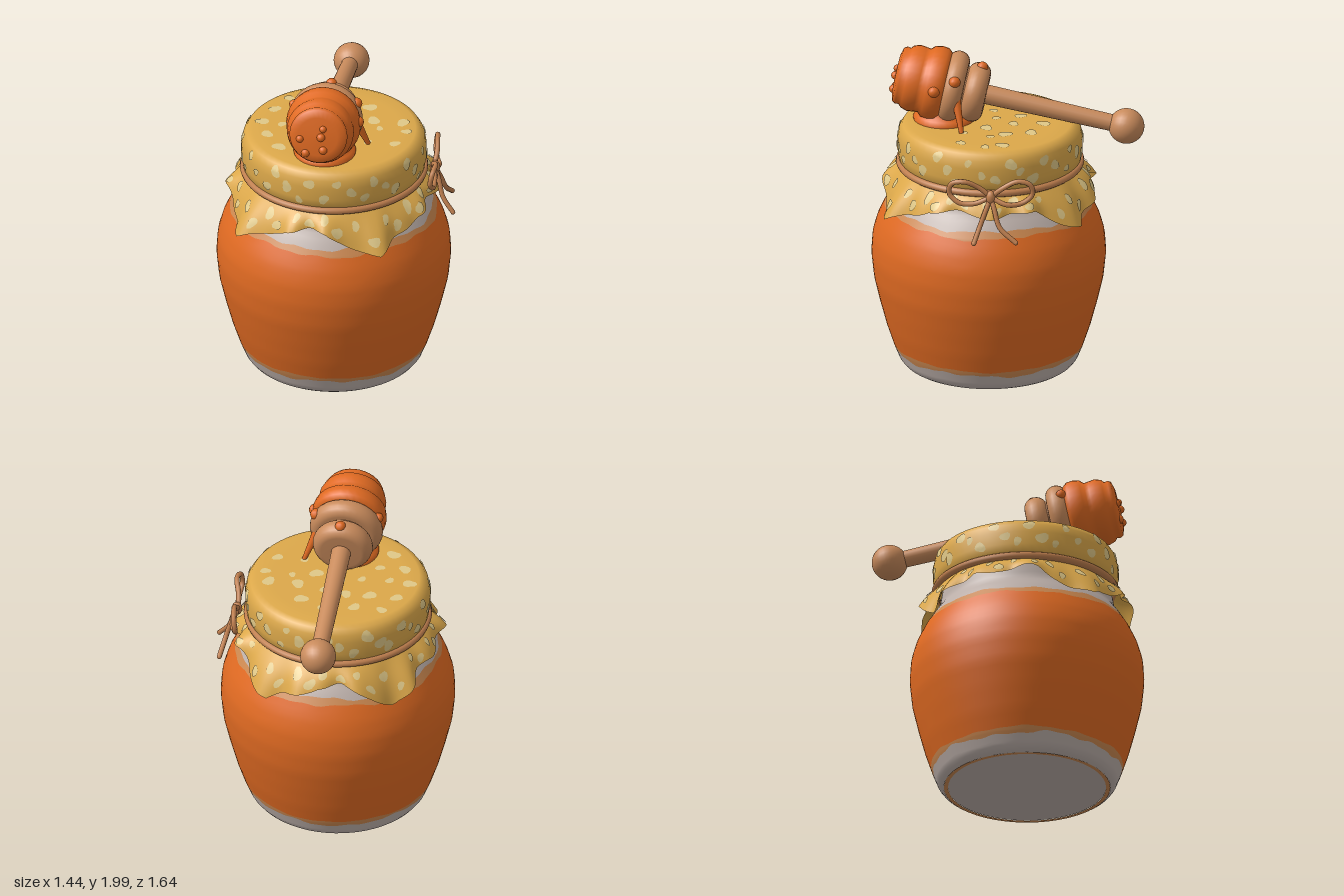
import * as THREE from 'three';
import { mergeVertices, mergeGeometries } from 'three/addons/utils/BufferGeometryUtils.js';

const mat = (name, color, side = THREE.FrontSide) => {
  const m = new THREE.MeshStandardMaterial({ color, side });
  m.name = name;
  return m;
};

// Seeded random numbers
let seed = 7;
const rnd = () => (seed = (seed * 16807) % 2147483647) / 2147483647;

const V = (x, y, z) => new THREE.Vector3(x, y, z);
const polar = (a, r, y) => V(Math.sin(a) * r, y, Math.cos(a) * r);
const TAU = Math.PI * 2;

// Radius at height y along a [radius, y] profile
function radiusAt(profile, y) {
  for (let i = 1; i < profile.length; i++) {
    const [r0, y0] = profile[i - 1], [r1, y1] = profile[i];
    if (y <= y1) return r0 + (r1 - r0) * Math.max(0, (y - y0) / (y1 - y0));
  }
  return profile[profile.length - 1][0];
}

// Grid swept around the axis: f(angle, v) gives a point, v runs 0..1 upwards
function around(f, nu, nv) {
  const pos = [], idx = [];
  for (let j = 0; j <= nv; j++)
    for (let i = 0; i < nu; i++) pos.push(...f((i / nu) * TAU, j / nv).toArray());
  for (let j = 0; j < nv; j++)
    for (let i = 0; i < nu; i++) {
      const a = j * nu + i, b = j * nu + (i + 1) % nu;
      idx.push(a, b, b + nu, a, b + nu, a + nu);
    }
  const g = new THREE.BufferGeometry();
  g.setAttribute('position', new THREE.Float32BufferAttribute(pos, 3));
  g.setIndex(idx);
  g.computeVertexNormals();
  return g;
}

// Irregular round spot laid on a surface f(u, v)
function spot(f, u, v, du, dv) {
  const n = 12, pos = [...f(u, v).toArray()], idx = [], ph = rnd() * TAU;
  for (let k = 1; k <= 2; k++)
    for (let i = 0; i < n; i++) {
      const t = (i / n) * TAU, w = (k / 2) * (1 + 0.16 * Math.sin(2 * t + ph) + 0.1 * Math.sin(3 * t - ph));
      pos.push(...f(u + Math.cos(t) * du * w, v + Math.sin(t) * dv * w).toArray());
    }
  for (let i = 0; i < n; i++) {
    const a = 1 + i, b = 1 + (i + 1) % n;
    idx.push(0, a, b, a, a + n, b + n, a, b + n, b);
  }
  const g = new THREE.BufferGeometry();
  g.setAttribute('position', new THREE.Float32BufferAttribute(pos, 3));
  g.setIndex(idx);
  g.computeVertexNormals();
  return g;
}

const lathe = (pts, seg = 48) =>
  new THREE.LatheGeometry(pts.map(([r, y]) => new THREE.Vector2(r, y)), seg);
const tube = (pts, r) =>
  new THREE.TubeGeometry(new THREE.CatmullRomCurve3(pts.map(p => V(...p))), 32, r, 8);

export function createModel() {
  const glass = mat('stoneware', 0xbdb0aa);
  const honey = mat('honey', 0xe06a22);
  const edge = mat('honey edge', 0xcb8850);
  const cloth = mat('cloth', 0xdca84a, THREE.DoubleSide);
  const cream = mat('cloth spots', 0xdfc888, THREE.DoubleSide);
  const wood = mat('wood', 0xc98b5c);
  const cord = mat('cord', 0xc1804f);

  const model = new THREE.Group();
  const add = (parent, name, geo, material, x = 0, y = 0, z = 0) => {
    const m = new THREE.Mesh(geo, material);
    m.name = name;
    m.position.set(x, y, z);
    parent.add(m);
    return m;
  };

  // Jar body, split into colour bands with wavering borders
  const jar = new THREE.Group();
  jar.name = 'jar';
  jar.position.set(-0.02, 0, 0.115);
  model.add(jar);
  const body = [[0.5, 0], [0.515, 0.008], [0.54, 0.04], [0.572, 0.12], [0.615, 0.25], [0.655, 0.4], [0.69, 0.55],
    [0.705, 0.7], [0.697, 0.82], [0.668, 0.92], [0.625, 1.01], [0.575, 1.09], [0.53, 1.15], [0.51, 1.27]];
  const wave = (base, amp, ph) => a =>
    base + amp * (Math.sin(5 * a + ph) + 0.7 * Math.sin(11 * a + 2 * ph) + 0.5 * Math.sin(23 * a - ph)) / 2;
  const borders = [() => 0, wave(0.105, 0.016, 1), wave(0.138, 0.008, 2.5), wave(1.015, 0.014, 4), wave(1.052, 0.014, 5), () => 1.27];
  [['base', glass], ['lowerHoneyEdge', edge], ['honeyFill', honey], ['upperHoneyEdge', edge], ['neck', glass]].forEach(([name, m], k) => {
    const lo = borders[k], hi = borders[k + 1];
    add(jar, name, around((a, v) => {
      const y = lo(a) + (hi(a) - lo(a)) * v;
      return polar(a, radiusAt(body, y), y);
    }, 96, k === 2 ? 24 : 8), m);
  });
  add(jar, 'bottomRim', new THREE.RingGeometry(0.475, 0.5, 48).rotateX(Math.PI / 2), edge);
  add(jar, 'bottom', new THREE.CircleGeometry(0.475, 48).rotateX(Math.PI / 2), glass, 0, 0.002);

  // Cloth cover over the lid
  const cover = new THREE.Group();
  cover.name = 'clothCover';
  cover.position.set(-0.02, 0, 0.107);
  model.add(cover);
  const lid = [[0.52, 1.25], [0.525, 1.29], [0.548, 1.31], [0.556, 1.36], [0.556, 1.44], [0.547, 1.49], [0.525, 1.525], [0.49, 1.54]];
  add(cover, 'lid', lathe([...lid, [0.4, 1.541], [0, 1.541]], 64), cloth);

  // Skirt: a gathered hem with four hanging corners
  const corners = [32, 150, 220, 313].map(d => d * Math.PI / 180);
  const cornerness = a => corners.reduce((s, c) => {
    const d = Math.abs(((a - c + 3 * Math.PI) % TAU + TAU) % TAU - Math.PI);
    return s + Math.max(0, 1 - d / 0.5);
  }, 0);
  const fold = a => Math.sin(13 * a + 0.8 * Math.sin(3 * a)) + 0.35 * Math.sin(22 * a + 1);
  const skirt = off => (a, t) => {
    const c = cornerness(a), s = 1 - t;
    const hem = 1.165 - 0.155 * c + 0.018 * Math.sin(9 * a + 2);
    const r = 0.525 + s * (0.095 + 0.06 * c + 0.024 * fold(a)) + 0.015 * Math.sin(s * Math.PI);
    return polar(a, r + off, hem + (1.275 - hem) * t + off * 0.6);
  };
  add(cover, 'skirt', around(skirt(0), 192, 8), cloth);

  // Spots on the top, side and skirt
  const spots = [];
  const top = (x, z) => V(x, 1.545, -z);
  for (let i = -3; i <= 3; i++)
    for (let j = -3; j <= 3; j++) {
      const x = (i + (j % 2 ? 0.5 : 0)) * 0.15 + (rnd() - 0.5) * 0.07, z = j * 0.15 + (rnd() - 0.5) * 0.07;
      const s = 0.02 + rnd() * 0.022;
      if (Math.hypot(x, z) < 0.44) spots.push(spot(top, x, z, s, s));
    }
  const side = (a, y) => polar(a, radiusAt(lid, y) + 0.005, y + 0.002);
  for (let i = 0; i < 44; i++) {
    const a = ((i + rnd() * 0.5) / 44) * TAU, s = 0.022 + rnd() * 0.016;
    spots.push(spot(side, a, [1.36, 1.47, 1.41][i % 3] + (rnd() - 0.5) * 0.03, s / 0.55, s));
  }
  for (let i = 0; i < 40; i++) {
    const a = ((i + rnd() * 0.5) / 40) * TAU, s = 0.02 + rnd() * 0.013;
    spots.push(spot(skirt(0.006), a, i % 2 ? 0.3 : 0.62, s / 0.6, s / (0.13 + 0.14 * cornerness(a))));
  }
  add(cover, 'spots', mergeGeometries(spots), cream);

  // Cord round the neck with a bow on the left side
  add(cover, 'cord', new THREE.TorusGeometry(0.543, 0.023, 10, 72).rotateX(Math.PI / 2), cord, 0, 1.285);
  const bow = new THREE.Group();
  bow.name = 'bow';
  bow.position.set(0.565, 1.285, 0.04);
  model.add(bow);
  for (const s of [1, -1]) {
    const lean = s > 0 ? 0.025 : -0.01;
    add(bow, s > 0 ? 'frontLoop' : 'backLoop', tube([[0.01, 0, 0], [0.02, 0.06, s * 0.07], [0.02 + lean, 0.105, s * 0.16],
      [0.01 + lean, 0.085, s * 0.235], [lean, 0.02, s * 0.25], [0.01 + lean, -0.035, s * 0.19], [0.03, -0.04, s * 0.1], [0.015, 0, 0]], 0.016), cord);
    add(bow, s > 0 ? 'frontTail' : 'backTail', tube([[0.015, 0, 0], [0.045, -0.07, s * 0.025],
      [0.075, -0.17, s * 0.06], [s > 0 ? 0.14 : 0.1, -0.255, s > 0 ? 0.09 : -0.16]], 0.015), cord);
    const p = s > 0 ? [0.14, -0.255, 0.09] : [0.1, -0.255, -0.16];
    add(bow, 'tailEnd', new THREE.SphereGeometry(0.015, 8, 6), cord, ...p);
  }
  add(bow, 'knot', new THREE.SphereGeometry(0.036, 12, 10).scale(0.9, 1.2, 0.8), cord, 0.018, 0, 0);

  // Dipper, built along its own axis from the knob to the head
  const dipper = new THREE.Group();
  dipper.name = 'dipper';
  dipper.position.set(-0.035, 1.532, -0.715);
  dipper.rotation.x = Math.atan2(1, 0.2);
  model.add(dipper);
  add(dipper, 'knob', new THREE.SphereGeometry(0.108, 24, 16), wood);
  add(dipper, 'handle', new THREE.CylinderGeometry(0.06, 0.05, 0.92, 20), wood, 0, 0.46);
  const ring = (name, s, r, h, m) => {
    const pts = [[0.05, s - h]];
    for (let i = 0; i <= 10; i++) {
      const t = -Math.PI / 2 + (i / 10) * Math.PI;
      pts.push([r - 0.06 + 0.06 * Math.cos(t), s + h * Math.sin(t)]);
    }
    add(dipper, name, lathe([...pts, [0.05, s + h]], 32), m);
  };
  ring('headRing', 0.93, 0.182, 0.068, wood);
  ring('headRing', 1.065, 0.222, 0.064, wood);
  add(dipper, 'headCore', new THREE.CylinderGeometry(0.15, 0.14, 0.4, 24), wood, 0, 1.1);
  add(dipper, 'honeyHead', lathe([[0.15, 1.11], [0.2, 1.115], [0.222, 1.14], [0.226, 1.18], [0.218, 1.22], [0.195, 1.245],
    [0.198, 1.27], [0.203, 1.31], [0.19, 1.35], [0.172, 1.365], [0.176, 1.385], [0.165, 1.405], [0.12, 1.418], [0, 1.422]], 32), honey);

  // Honey drops on the head: [angle, radius, distance, size]
  for (const [a, r, s, k] of [[3.1, 0.17, 0.92, 0.034], [2.1, 0.21, 1.06, 0.035], [1.7, 0.21, 1.17, 0.036], [4.3, 0.21, 1.1, 0.03],
    [0.4, 0.09, 1.415, 0.026], [2.6, 0.06, 1.418, 0.022], [4.9, 0.11, 1.412, 0.024], [5.7, 0.13, 1.405, 0.028], [1.5, 0.02, 1.42, 0.026]]) {
    const p = polar(a, r, s);
    add(dipper, 'honeyDrop', new THREE.SphereGeometry(k, 12, 8), honey, p.x, p.y, p.z);
  }

  // Honey pooling below the head, and a thin strand beside it
  add(model, 'honeyPool', lathe([[0.185, 1.535], [0.188, 1.553], [0.172, 1.572], [0.15, 1.59], [0.138, 1.63], [0.145, 1.72]], 32), honey, -0.035, 0, 0.385);
  const strand = add(model, 'honeyStrand', mergeVertices(new THREE.CylinderGeometry(0.032, 0.014, 0.25, 10)), honey, 0.165, 1.655, 0.28);
  strand.quaternion.setFromUnitVectors(V(0, 1, 0), V(-0.09, 0.23, 0.05).normalize());

  return model;
}
